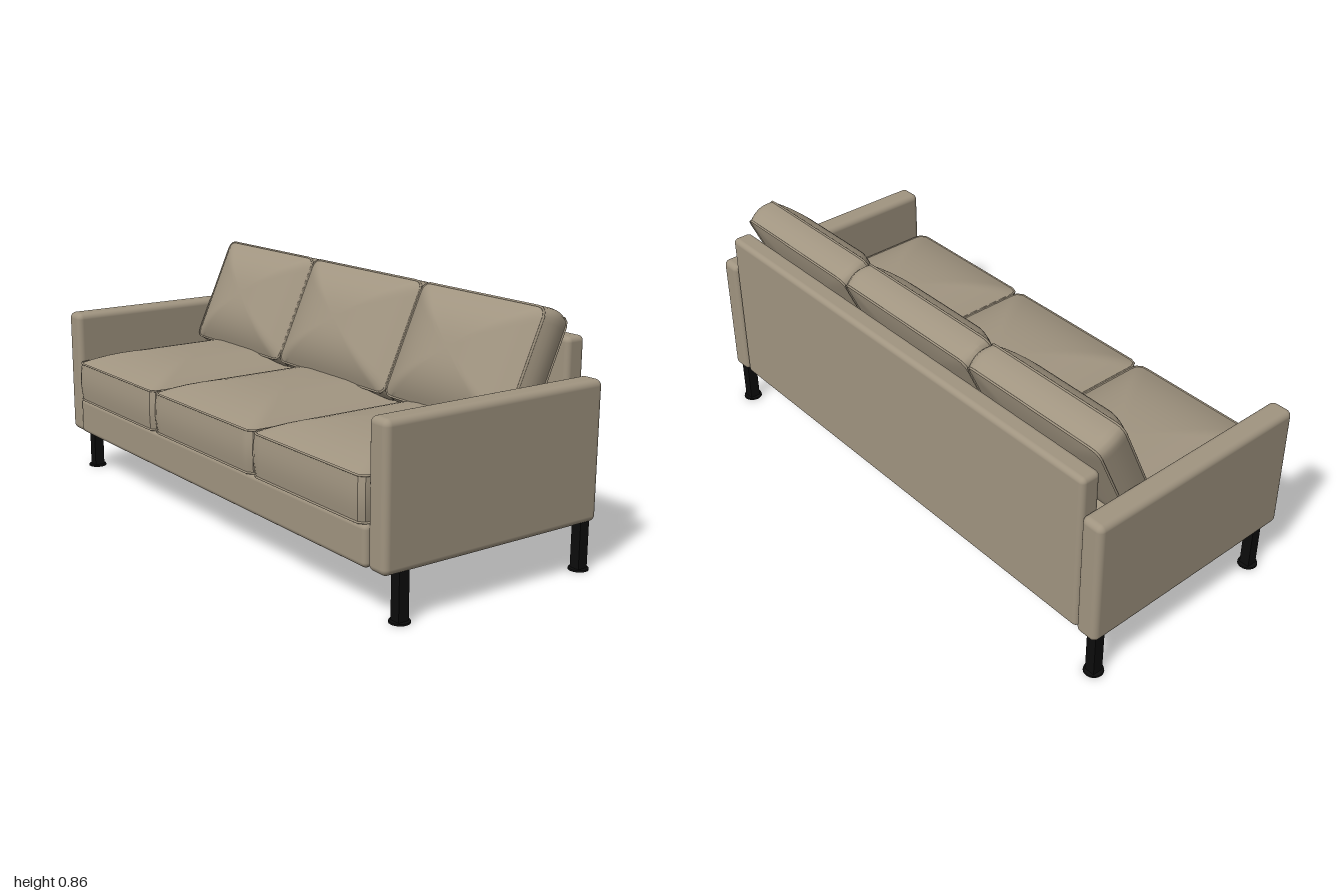
import * as THREE from 'three';
import { toCreasedNormals } from 'three/addons/utils/BufferGeometryUtils.js';
import { RoundedBoxGeometry } from 'three/addons/geometries/RoundedBoxGeometry.js';

const fabric = new THREE.MeshStandardMaterial({ color: 0xa09480 });
fabric.name = 'beige fabric';
const metal = new THREE.MeshStandardMaterial({ color: 0x0c0c0c });
metal.name = 'black metal';

// Evenly spaced points round a rounded rectangle, counter-clockwise
function outline(w, h, r, count = 112) {
  const x = w / 2 - r, y = h / 2 - r, s = new THREE.Shape();
  s.absarc(x, y, r, 0, Math.PI / 2);
  s.absarc(-x, y, r, Math.PI / 2, Math.PI);
  s.absarc(-x, -y, r, Math.PI, Math.PI * 1.5);
  s.absarc(x, -y, r, Math.PI * 1.5, Math.PI * 2);
  s.closePath();
  return s.getSpacedPoints(count).slice(0, count);
}

// Stuffed cushion lying in the xy plane: domed faces and a bulging border
function cushionGeometry(w, h, d, front, back, border, power) {
  const rings = [], steps = 10;
  for (let i = 0; i <= steps; i++) {
    const s = i / steps;
    rings.push([s, 0, -d / 2 - back * (1 - s ** power)]);
  }
  for (let i = 1; i <= 6; i++) {
    const t = i / 6;
    rings.push([1, border * Math.sin(Math.PI * t), -d / 2 + d * t]);
  }
  for (let i = steps - 1; i >= 0; i--) {
    const s = i / steps;
    rings.push([s, 0, d / 2 + front * (1 - s ** power)]);
  }
  const pts = outline(w, h, 0.03), n = pts.length, pos = [], idx = [];
  for (const [s, o, z] of rings) {
    for (const p of pts) pos.push(p.x * s * (1 + 2 * o / w), p.y * s * (1 + 2 * o / h), z);
  }
  for (let k = 0; k < rings.length - 1; k++) {
    for (let i = 0; i < n; i++) {
      const j = (i + 1) % n, a = k * n + i, b = k * n + j;
      if (k > 0) idx.push(a, b, b + n);
      if (k < rings.length - 2) idx.push(a, b + n, a + n);
      else if (k === 0) idx.push(a, b + n, a + n);
    }
  }
  const g = new THREE.BufferGeometry();
  g.setAttribute('position', new THREE.Float32BufferAttribute(pos, 3));
  g.setIndex(idx);
  return toCreasedNormals(g, 0.6);
}

// Cushion with piping sewn along both seams
function cushion(name, w, h, d, front, back, border, power) {
  const group = new THREE.Group();
  group.name = name;
  const body = new THREE.Mesh(cushionGeometry(w, h, d, front, back, border, power), fabric);
  body.name = name + 'Body';
  group.add(body);
  for (const z of [-d / 2, d / 2]) {
    const path = new THREE.CatmullRomCurve3(
      outline(w, h, 0.03).map(p => new THREE.Vector3(p.x, p.y, z)), true);
    const piping = new THREE.Mesh(new THREE.TubeGeometry(path, 112, 0.004, 6, true), fabric);
    piping.name = name + 'Piping';
    group.add(piping);
  }
  return group;
}

export function createModel() {
  const model = new THREE.Group();
  model.name = 'sofa';

  function add(name, geometry, material, x, y, z) {
    const mesh = new THREE.Mesh(geometry, material);
    mesh.name = name;
    mesh.position.set(x, y, z);
    model.add(mesh);
  }
  // Upholstered block given by its limits
  function block(name, x0, x1, y0, y1, z0, z1, r) {
    add(name, new RoundedBoxGeometry(x1 - x0, y1 - y0, z1 - z0, 5, r), fabric,
      (x0 + x1) / 2, (y0 + y1) / 2, (z0 + z1) / 2);
  }

  // Frame
  block('seatBase', -0.912, 0.912, 0.165, 0.302, -0.42, 0.43, 0.018);
  block('backrest', -0.912, 0.912, 0.165, 0.757, -0.436, -0.362, 0.018);
  block('rightArm', -0.997, -0.912, 0.163, 0.631, -0.44, 0.425, 0.022);
  block('leftArm', 0.912, 0.997, 0.163, 0.631, -0.44, 0.425, 0.022);

  // Three seat cushions and three leaning back cushions
  for (const [x, w] of [[-0.612, 0.582], [0, 0.63], [0.612, 0.582]]) {
    const seat = cushion('seatCushion', w, 0.79, 0.143, 0.058, 0, 0.006, 3);
    seat.rotation.x = -Math.PI / 2;
    seat.position.set(x, 0.374, 0.04);
    model.add(seat);

    const back = cushion('backCushion', w, 0.405, 0.107, 0.07, 0.015, 0.01, 2.6);
    back.rotation.x = -0.424;
    back.position.set(x, 0.654, -0.236);
    model.add(back);
  }

  // Corner legs with round foot plates
  for (const x of [-0.965, 0.965]) {
    for (const z of [0.34, -0.4]) {
      add('leg', new THREE.BoxGeometry(0.038, 0.165, 0.038), metal, x, 0.0875, z);
      add('footPlate', new THREE.CylinderGeometry(0.033, 0.034, 0.006, 24), metal, x, 0.003, z);
    }
  }

  // Middle support under the seat
  add('centreSupport', new THREE.BoxGeometry(0.078, 0.085, 0.082), metal, -0.002, 0.1265, -0.03);

  return model;
}
